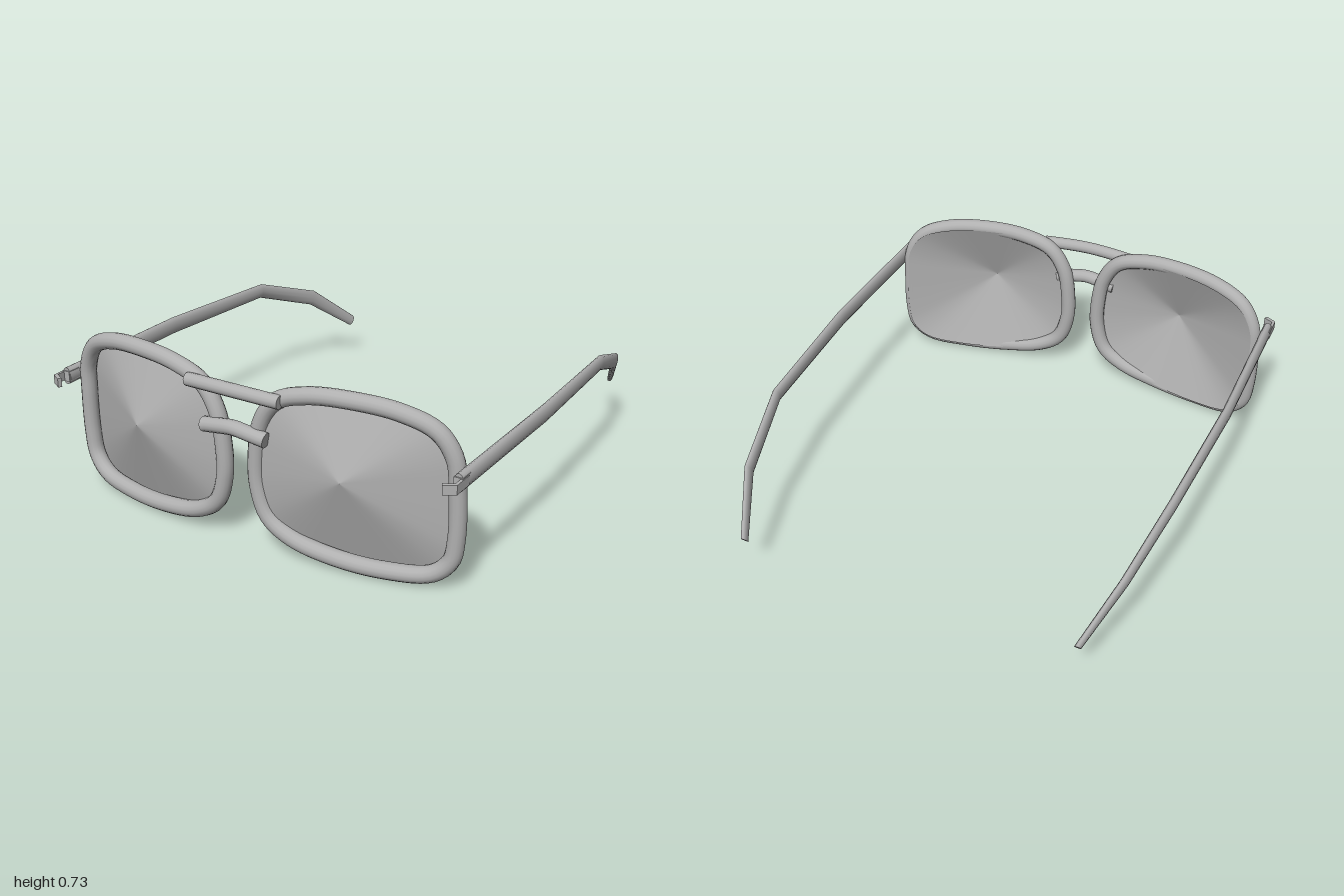
import * as THREE from 'three';

const V = (x, y, z) => new THREE.Vector3(x, y, z);

// Grid of rings (arrays of points) joined into a surface; rings are closed loops
function loft(rings, caps) {
  const n = rings[0].length, pos = [], idx = [];
  rings.forEach(r => r.forEach(p => pos.push(p.x, p.y, p.z)));
  for (let i = 0; i < rings.length - 1; i++) {
    for (let j = 0; j < n; j++) {
      const a = i * n + j, b = i * n + (j + 1) % n;
      idx.push(a, b, a + n, b, b + n, a + n);
    }
  }
  if (caps) [rings[0], rings[rings.length - 1]].forEach((r, k) => {
    const s = pos.length / 3;
    r.forEach(p => pos.push(p.x, p.y, p.z));
    for (let j = 1; j < n - 1; j++) idx.push(s, s + (k ? j : j + 1), s + (k ? j + 1 : j));
  });
  const g = new THREE.BufferGeometry();
  g.setAttribute('position', new THREE.Float32BufferAttribute(pos, 3));
  g.setIndex(idx);
  g.computeVertexNormals();
  return g;
}

export function createModel() {
  const model = new THREE.Group();
  model.name = 'glasses';
  const grey = new THREE.MeshStandardMaterial({ color: 0xb0b0b0, side: THREE.DoubleSide });
  grey.name = 'grey';
  const add = (name, geo, parent = model) => {
    const m = new THREE.Mesh(geo, grey);
    m.name = name;
    parent.add(m);
    return m;
  };

  // Rim outline, curved backwards towards the temples
  const outline = [
    [0.47, 0.695], [0.66, 0.678], [0.79, 0.625], [0.85, 0.53], [0.862, 0.4], [0.862, 0.22],
    [0.843, 0.12], [0.775, 0.058], [0.6, 0.036], [0.4, 0.045], [0.22, 0.083], [0.12, 0.15],
    [0.078, 0.27], [0.077, 0.4], [0.102, 0.535], [0.17, 0.635], [0.3, 0.682],
  ];
  const rimZ = x => 0.925 - 0.16 * x * x;

  // Straight bar with closed ends, following a few points
  const bar = (name, pts, r) => {
    const curve = new THREE.CatmullRomCurve3(pts);
    const N = 12, rings = [];
    for (let i = 0; i <= N; i++) {
      const c = curve.getPoint(i / N), t = curve.getTangent(i / N);
      const up = V(-t.y, t.x, 0).normalize(), out = t.clone().cross(up);
      rings.push(Array.from({ length: 14 }, (_, j) => {
        const a = j / 14 * Math.PI * 2;
        return c.clone().addScaledVector(up, Math.cos(a) * r).addScaledVector(out, Math.sin(a) * r);
      }));
    }
    add(name, loft(rings, true));
  };

  for (const s of [1, -1]) {
    const side = s > 0 ? 'left' : 'right';
    const half = new THREE.Group();
    half.name = side + 'Half';
    model.add(half);

    // Rim
    const path = new THREE.CatmullRomCurve3(
      outline.map(([x, y]) => V(s * x, y, rimZ(x))), true, 'centripetal');
    add(side + 'Rim', new THREE.TubeGeometry(path, 96, 0.034, 14, true), half);

    // Lens: shallow dome rising from the rim to a soft peak
    const edge = path.getPoints(64).slice(0, 64);
    const rings = [1, 0.75, 0.5, 0.25, 0.001].map(k => edge.map(p => {
      const zEdge = 0.775 + (0.83 - Math.abs(p.x)) * 0.21;
      return V(s * 0.47 + (p.x - s * 0.47) * k, 0.4 + (p.y - 0.4) * k,
        0.967 + (zEdge - 0.967) * k);
    }));
    const lens = loft(s > 0 ? rings.reverse() : rings, false);
    add(side + 'Lens', lens, half);

    // Temple arm: oval sections from hinge to ear tip [x, y, z, halfWidth, halfHeight, tilt]
    const arm = [
      [0.905, 0.485, 0.885, 0.021, 0.037, 0], [0.911, 0.487, 0.2, 0.019, 0.038, 0],
      [0.88, 0.473, -0.42, 0.018, 0.033, 0.2], [0.815, 0.348, -0.765, 0.016, 0.036, 0.52],
      [0.72, 0.175, -0.985, 0.013, 0.026, 0.65],
    ].map(([x, y, z, w, h, tilt]) => Array.from({ length: 12 }, (_, j) => {
      const a = s * j / 12 * Math.PI * 2, v = Math.sin(a) * h;
      return V(s * (x + Math.cos(a) * w * 1), y + v * Math.cos(tilt), z - v * Math.sin(tilt));
    }));
    // winding runs backwards along the arm
    const armGeo = loft(arm.reverse(), true);
    add(side + 'Temple', armGeo, half);

    // Hinge: block, strap and inward hook
    const block = add(side + 'HingeBlock', new THREE.BoxGeometry(0.036, 0.045, 0.06), half);
    block.position.set(s * 0.905, 0.485, 0.86);
    const strap = add(side + 'HingeStrap', new THREE.BoxGeometry(0.012, 0.038, 0.09), half);
    strap.position.set(s * 0.92, 0.485, 0.89);
    const hook = add(side + 'HingeHook', new THREE.BoxGeometry(0.05, 0.038, 0.016), half);
    hook.position.set(s * 0.9, 0.485, 0.942);
    hook.rotation.y = s * 0.5;
  }

  // Two bars across the nose
  bar('topBar', [V(-0.21, 0.65, 0.953), V(-0.1, 0.655, 0.962), V(0, 0.657, 0.966),
    V(0.1, 0.655, 0.962), V(0.21, 0.65, 0.953)], 0.027);
  bar('noseBridge', [V(-0.143, 0.482, 0.953), V(-0.07, 0.494, 0.958), V(0, 0.503, 0.961),
    V(0.07, 0.494, 0.958), V(0.143, 0.482, 0.953)], 0.03);

  return model;
}
